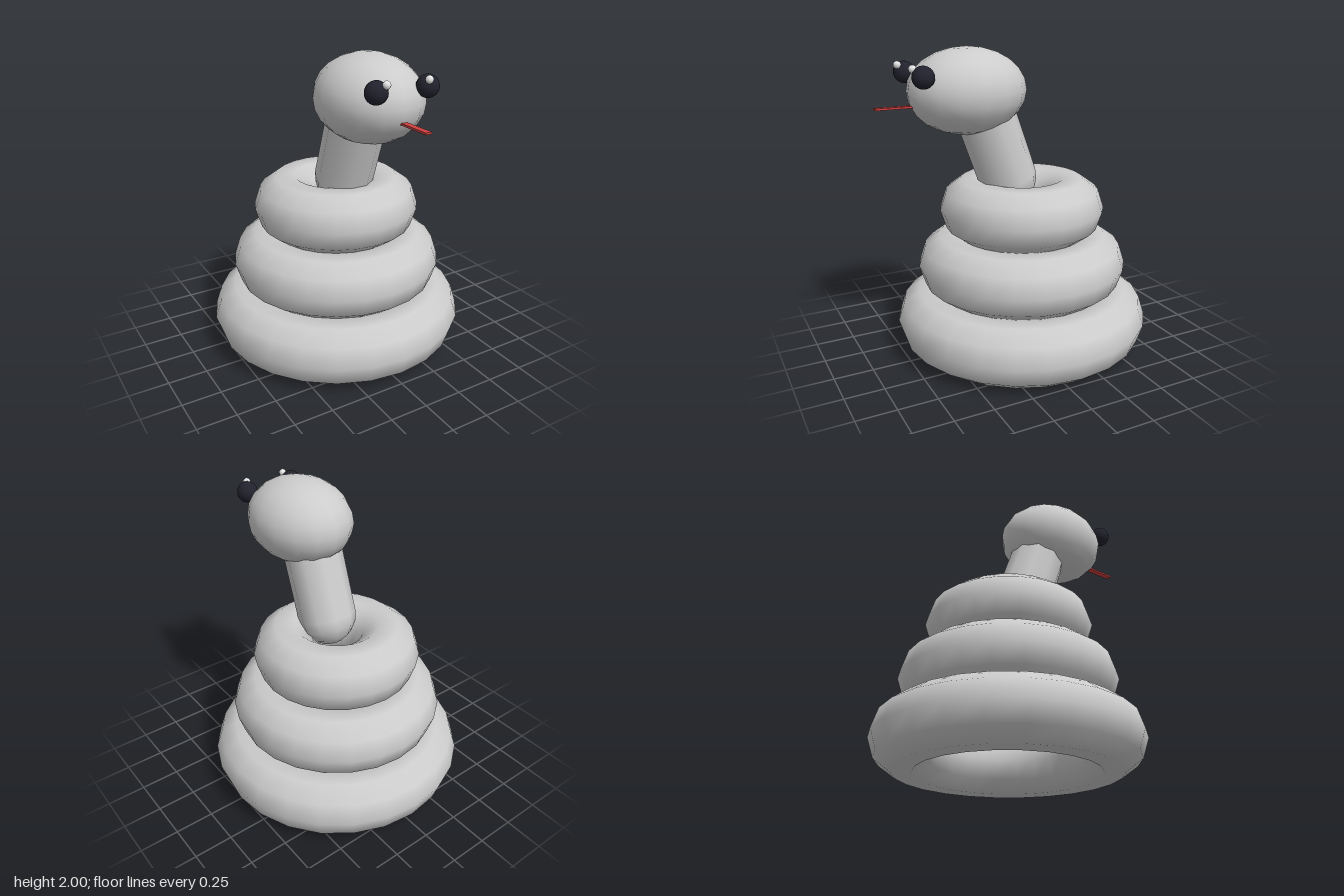
import * as THREE from 'three';

const material = (name, color) => {
  const m = new THREE.MeshStandardMaterial({ color });
  m.name = name;
  return m;
};

export function createModel() {
  const skin = material('skin', 0xcccccc);
  const eyeBlack = material('eyeBlack', 0x22222e);
  const glint = material('glint', 0xe6e6e6);
  const tongueRed = material('tongueRed', 0xd04040);

  const group = new THREE.Group();
  group.name = 'coiledSnake';
  const add = (name, geometry, mat, x, y, z) => {
    const mesh = new THREE.Mesh(geometry, mat);
    mesh.name = name;
    mesh.position.set(x, y, z);
    group.add(mesh);
    return mesh;
  };

  // Three stacked body coils, shrinking upwards
  const tube = 0.206;
  ['lowerCoil', 'middleCoil', 'upperCoil'].forEach((name, i) => {
    const coil = new THREE.TorusGeometry(0.634 - 0.15 * i, tube, 10, 24).rotateX(Math.PI / 2);
    add(name, coil, skin, 0, 0.196 + 0.376 * i, -0.06);
  });

  // Neck leaning forward out of the top coil
  const lean = 0.35, length = 0.5;
  const neck = add('neck', new THREE.CapsuleGeometry(0.188, length, 4, 10), skin,
    0, 1.15 + Math.cos(lean) * length / 2, 0.04 + Math.sin(lean) * length / 2);
  neck.rotation.x = lean;

  // Egg-shaped head
  const head = add('head', new THREE.SphereGeometry(1, 16, 12), skin, 0, 1.733, 0.318);
  head.scale.set(0.315, 0.267, 0.378);

  // Eyes with small highlights
  for (const [side, s] of [['left', 1], ['right', -1]]) {
    add(side + 'Eye', new THREE.SphereGeometry(0.067, 16, 12), eyeBlack, s * 0.17, 1.845, 0.655);
    add(side + 'EyeHighlight', new THREE.SphereGeometry(0.024, 10, 8), glint, s * 0.14, 1.892, 0.707);
  }

  // Thin tongue
  add('tongue', new THREE.BoxGeometry(0.04, 0.012, 0.3), tongueRed, 0, 1.658, 0.75);

  return group;
}
